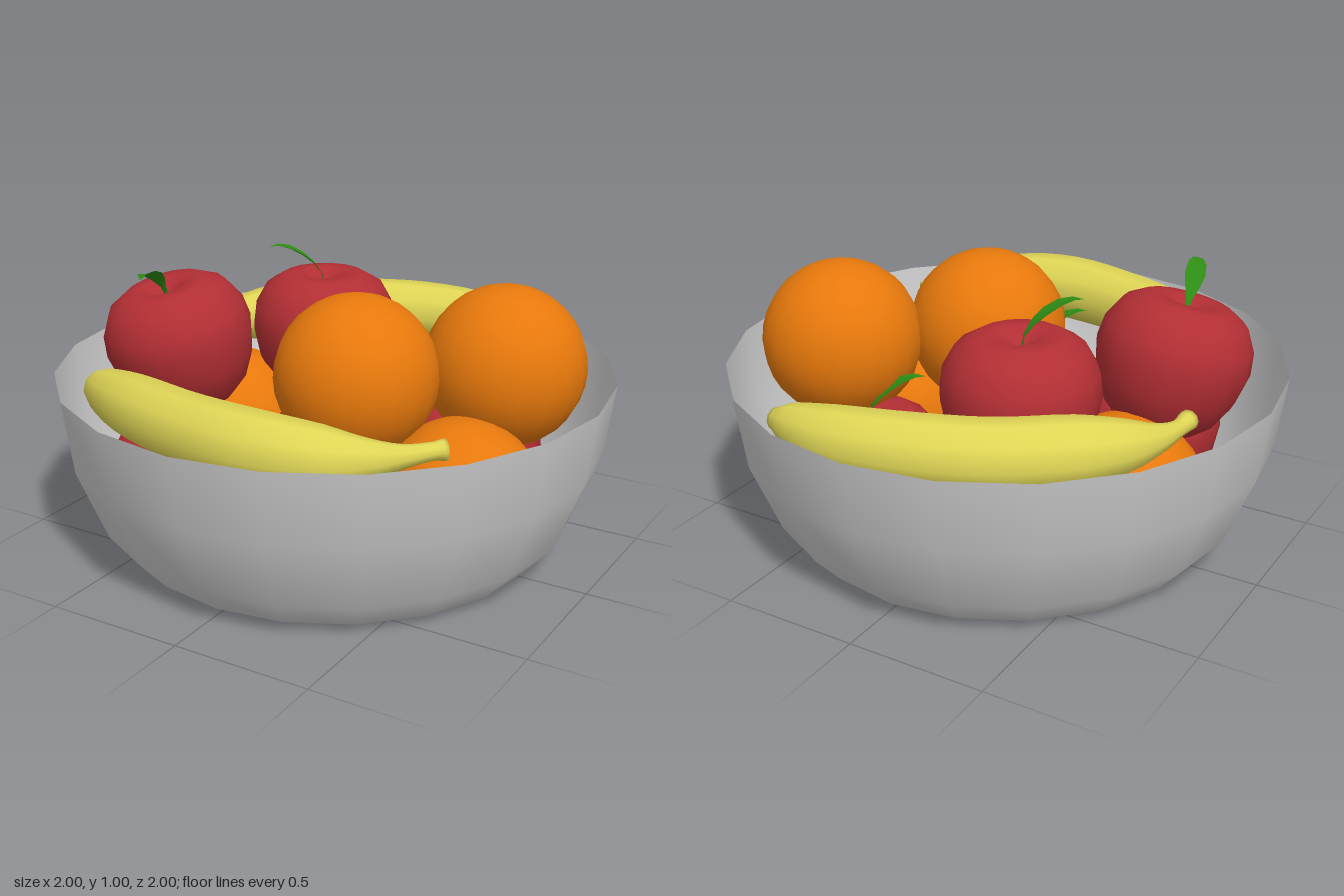
import * as THREE from 'three';

const material = (name, color, side = THREE.FrontSide) => {
  const m = new THREE.MeshStandardMaterial({ color, side });
  m.name = name;
  return m;
};

const v2 = (pairs) => pairs.map(([x, y]) => new THREE.Vector2(x, y));

// Tapered body along a curve; each station is [x, y, z, radius]
function bananaGeometry(stations, rings = 32, sides = 10) {
  const path = new THREE.CatmullRomCurve3(stations.map(([x, y, z]) => new THREE.Vector3(x, y, z)));
  const radii = new THREE.SplineCurve(stations.map((s, i) => new THREE.Vector2(i, s[3])));
  const up = new THREE.Vector3(0, 1, 0);
  const pos = [], index = [];
  for (let i = -1; i <= rings + 1; i++) {
    const t = Math.min(1, Math.max(0, i / rings));
    const r = i < 0 || i > rings ? 0 : radii.getPoint(t).y; // closed ends
    const c = path.getPoint(t), T = path.getTangent(t);
    const side = T.clone().cross(up).normalize();
    const top = side.clone().cross(T);
    for (let j = 0; j < sides; j++) {
      const a = (j / sides) * Math.PI * 2;
      const p = c.clone().addScaledVector(side, r * Math.cos(a)).addScaledVector(top, r * Math.sin(a));
      pos.push(p.x, p.y, p.z);
    }
  }
  for (let i = 0; i < rings + 2; i++) {
    for (let j = 0; j < sides; j++) {
      const a = i * sides + j, b = i * sides + (j + 1) % sides;
      index.push(a, a + sides, b, b, a + sides, b + sides);
    }
  }
  const g = new THREE.BufferGeometry();
  g.setAttribute('position', new THREE.Float32BufferAttribute(pos, 3));
  g.setIndex(index);
  g.computeVertexNormals();
  return g;
}

// Curved blade rising from the apple's dimple; rows are [outward, height, half width]
function leafGeometry() {
  const rows = [[0, 0.17, 0.006], [0.01, 0.23, 0.01], [0.04, 0.275, 0.026], [0.08, 0.31, 0.036],
    [0.13, 0.338, 0.032], [0.175, 0.348, 0.018], [0.21, 0.342, 0.001]];
  const pos = [], index = [];
  rows.forEach(([s, y, w], i) => {
    pos.push(s, y, -w, s, y - w * 0.25, 0, s, y, w);
    if (i) {
      for (let k = 0; k < 2; k++) {
        const a = (i - 1) * 3 + k;
        index.push(a, a + 1, a + 3, a + 1, a + 4, a + 3);
      }
    }
  });
  const g = new THREE.BufferGeometry();
  g.setAttribute('position', new THREE.Float32BufferAttribute(pos, 3));
  g.setIndex(index);
  g.computeVertexNormals();
  return g;
}

export function createModel() {
  const model = new THREE.Group();
  model.name = 'fruitBowl';

  const bowlGrey = material('bowl grey', 0xcccccc, THREE.DoubleSide);
  const orangeSkin = material('orange skin', 0xe8790c);
  const appleRed = material('apple red', 0xb32f34);
  const bananaYellow = material('banana yellow', 0xe0d656);
  const leafGreen = material('leaf green', 0x2d8c14, THREE.DoubleSide);

  const add = (parent, name, geometry, mat) => {
    const mesh = new THREE.Mesh(geometry, mat);
    mesh.name = name;
    parent.add(mesh);
    return mesh;
  };

  // Bowl: thin flared wall and flat base
  const bowl = new THREE.Group();
  bowl.name = 'bowl';
  model.add(bowl);
  const wall = [[0.77, 0.025], [0.862, 0.13], [0.965, 0.39], [1, 0.655]];
  add(bowl, 'bowlWall', new THREE.LatheGeometry(v2(wall), 20), bowlGrey);
  add(bowl, 'bowlBase', new THREE.LatheGeometry(v2([[0, 0.025], [0.77, 0.025]]), 20), bowlGrey);

  // Oranges: three on the base, two on top
  const orangeShape = new THREE.SphereGeometry(0.29, 20, 16);
  [[0.56, 0.29, 0.1], [-0.535, 0.29, -0.13], [-0.14, 0.29, -0.57],
    [0.165, 0.682, 0.135], [0.56, 0.682, -0.23]].forEach((p) => {
    add(model, 'orange', orangeShape, orangeSkin).position.set(...p);
  });

  // Apples with a leaf each: [x, y, z, yaw, tiltX, tiltZ]
  const appleProfile = [[0, -0.19], [0.07, -0.225], [0.11, -0.235], [0.145, -0.225], [0.205, -0.17],
    [0.252, -0.08], [0.275, 0.03], [0.265, 0.11], [0.222, 0.188], [0.155, 0.228], [0.09, 0.233],
    [0.035, 0.2], [0, 0.17]];
  const appleShape = new THREE.LatheGeometry(v2(appleProfile), 16);
  const leafShape = leafGeometry();
  const baseYaw = -2.42;
  [[0, 0.25, 0], [0.36, 0.265, -0.37], [-0.36, 0.265, 0.445], [0.165, 0.265, 0.49],
    [-0.24, 0.655, -0.32], [-0.57, 0.685, 0.155, 1.25, 0.2, 0.15]]
    .forEach(([x, y, z, yaw = 0, tiltX = 0, tiltZ = 0]) => {
      const apple = new THREE.Group();
      apple.name = 'apple';
      apple.position.set(x, y, z);
      apple.rotation.set(tiltX, 0, tiltZ);
      add(apple, 'appleBody', appleShape, appleRed);
      add(apple, 'appleLeaf', leafShape, leafGreen).rotation.y = baseYaw + yaw;
      model.add(apple);
    });

  // Bananas resting inside the rim, blunt tip to stem
  add(model, 'frontBanana', bananaGeometry([
    [-0.7, 0.595, 0.485, 0.04], [-0.64, 0.605, 0.525, 0.075], [-0.4, 0.622, 0.64, 0.112],
    [-0.1, 0.63, 0.735, 0.122], [0.17, 0.635, 0.77, 0.125], [0.38, 0.635, 0.735, 0.108],
    [0.5, 0.63, 0.66, 0.07], [0.58, 0.625, 0.57, 0.04], [0.64, 0.625, 0.485, 0.03],
    [0.67, 0.625, 0.45, 0.036]]), bananaYellow);
  add(model, 'backBanana', bananaGeometry([
    [0.4, 0.64, -0.825, 0.035], [0.33, 0.64, -0.83, 0.07], [0.15, 0.635, -0.835, 0.108],
    [-0.1, 0.635, -0.79, 0.122], [-0.35, 0.63, -0.685, 0.125], [-0.55, 0.63, -0.53, 0.12],
    [-0.665, 0.625, -0.4, 0.09], [-0.73, 0.622, -0.29, 0.05], [-0.755, 0.62, -0.19, 0.03],
    [-0.758, 0.62, -0.11, 0.036]]), bananaYellow);

  return model;
}
